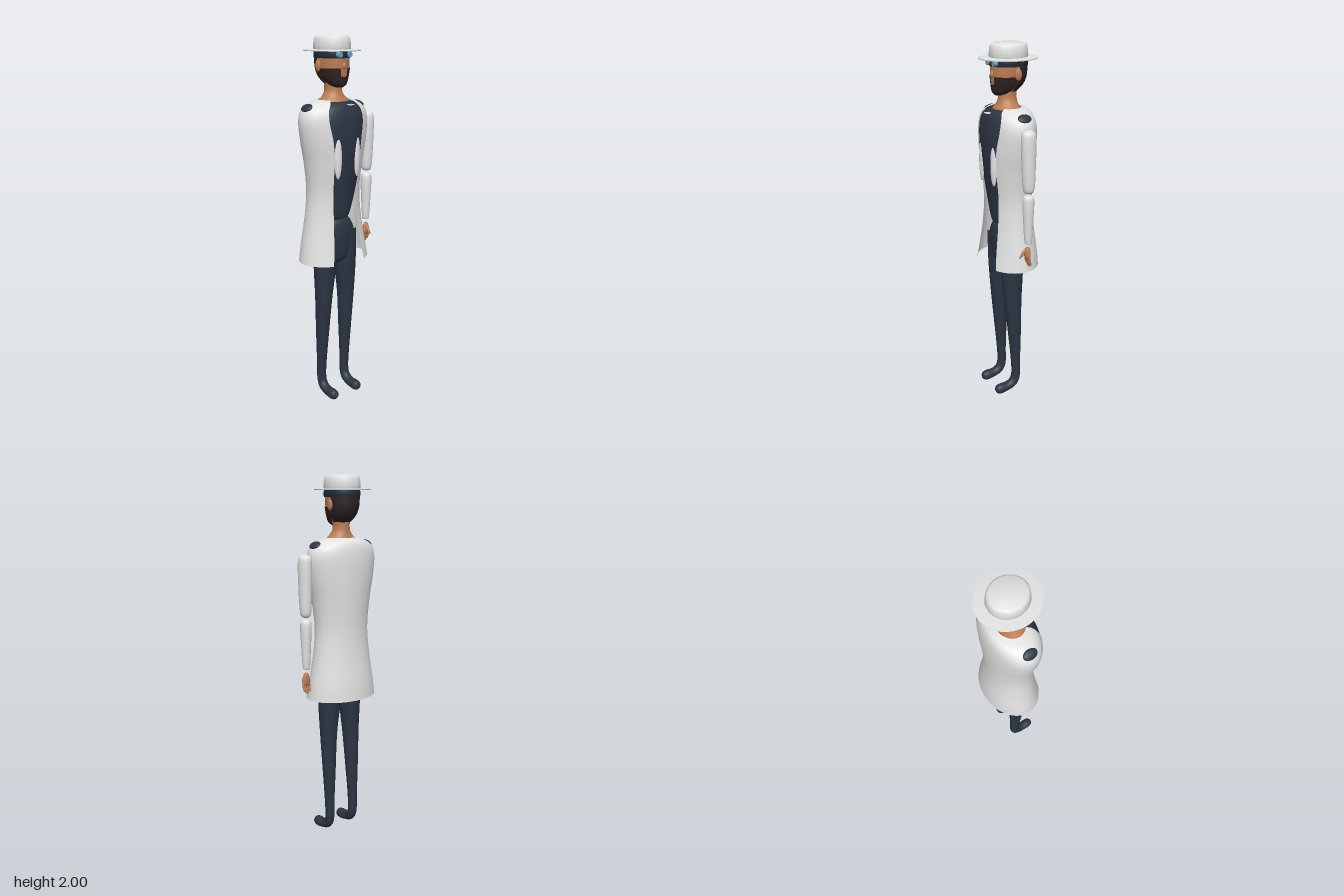
import * as THREE from 'three';
import { toCreasedNormals } from 'three/addons/utils/BufferGeometryUtils.js';

const CX = -0.028; // the body's own centre line
const mat = (name, color, side = THREE.FrontSide) => {
  const m = new THREE.MeshStandardMaterial({ color, side });
  m.name = name;
  return m;
};

// Smooth interpolation through rows of numbers, u from 0 to 1
function spline(rows) {
  const f = new THREE.CubicInterpolant(rows.map((_, i) => i), rows.flat(), rows[0].length);
  return (u) => Array.from(f.evaluate(u * (rows.length - 1)));
}

// Surface of nu x nv cells; point(u, v) gives [x, y, z]
function surface(nu, nv, closed, point) {
  const pos = [], idx = [], cols = closed ? nv : nv + 1;
  for (let i = 0; i <= nu; i++)
    for (let j = 0; j < cols; j++) pos.push(...point(i / nu, j / nv));
  for (let i = 0; i < nu; i++)
    for (let j = 0; j < nv; j++) {
      const a = i * cols + j, b = i * cols + (j + 1) % cols;
      idx.push(a, b, a + cols, b, b + cols, a + cols);
    }
  const g = new THREE.BufferGeometry();
  g.setAttribute('position', new THREE.Float32BufferAttribute(pos, 3));
  g.setIndex(idx);
  g.computeVertexNormals();
  return g;
}

// Loft of upright ellipses. Rows: [y, half width, front z, back z, optional start angle or opening]
function loft(rows, range = null, nu = 40, nv = 48) {
  const at = spline(rows);
  return surface(nu, nv, !range, (u, v) => {
    const r = at(u), [y, hx, zf, zb] = r;
    const [t0, t1] = range ? range(r) : [0, Math.PI * 2];
    const t = t0 + (t1 - t0) * v;
    return [CX + hx * Math.sin(t), y, (zf + zb) / 2 + (zf - zb) / 2 * Math.cos(t)];
  });
}

// Tapered limb along a path. Rows: [x, y, z, side radius, depth radius]
function limb(rows, nu = 40, nv = 20) {
  const at = spline(rows), T = new THREE.Vector3(), X = new THREE.Vector3(1, 0, 0);
  return surface(nu, nv, true, (u, v) => {
    const p = at(u), a = at(Math.max(0, u - 0.01)), b = at(Math.min(1, u + 0.01));
    T.set(0, b[1] - a[1], b[2] - a[2]).normalize();
    const n = X.clone().cross(T), t = v * Math.PI * 2;
    const s = Math.max(p[3], 0.001) * Math.sin(t), d = Math.max(p[4], 0.001) * Math.cos(t);
    return [p[0] + s, p[1] + n.y * d, p[2] + n.z * d];
  });
}

export function createModel() {
  const model = new THREE.Group();
  const white = mat('white cloth', 0xe2e2e2, THREE.DoubleSide);
  const navy = mat('navy cloth', 0x2b3543);
  const skin = mat('skin', 0xbb7d54);
  const hair = mat('dark brown hair', 0x2f2222, THREE.DoubleSide);
  const strapMat = mat('dark strap', 0x202a36, THREE.DoubleSide);
  const blue = mat('blue lens', 0x6aa6c8);

  const add = (name, geometry, material) => {
    const m = new THREE.Mesh(geometry, material);
    m.name = name;
    model.add(m);
    return m;
  };
  const ball = (name, material, pos, size) => {
    const m = add(name, new THREE.SphereGeometry(1, 24, 16), material);
    m.position.set(...pos);
    m.scale.set(...size);
    return m;
  };

  // Open coat; the fifth number is the half width of the front opening
  add('coat', loft([
    [0.815, 0.207, 0.165, -0.145, 0.105], [0.9, 0.195, 0.15, -0.138, 0.093],
    [1.05, 0.17, 0.13, -0.12, 0.082], [1.2, 0.157, 0.125, -0.112, 0.08],
    [1.35, 0.172, 0.137, -0.118, 0.083], [1.47, 0.195, 0.143, -0.122, 0.092],
    [1.57, 0.207, 0.138, -0.12, 0.11], [1.63, 0.19, 0.125, -0.112, 0.105],
    [1.665, 0.14, 0.105, -0.095, 0.08], [1.68, 0.085, 0.08, -0.06, 0.06],
  ], ([, hx, , , w]) => {
    const t = Math.asin(Math.min(0.95, w / hx));
    return [t, Math.PI * 2 - t];
  }, 60, 72), white);

  // Shirt and trouser hips
  add('shirt', loft([
    [1.045, 0.02, 0.05, -0.02], [1.05, 0.065, 0.085, -0.06], [1.08, 0.088, 0.1, -0.075],
    [1.2, 0.125, 0.115, -0.09], [1.35, 0.15, 0.134, -0.1], [1.47, 0.172, 0.142, -0.105],
    [1.57, 0.185, 0.137, -0.1], [1.63, 0.165, 0.123, -0.09], [1.66, 0.115, 0.105, -0.07],
    [1.672, 0.075, 0.085, -0.05],
  ]), navy);
  add('hips', loft([
    [0.79, 0.02, 0.05, 0], [0.82, 0.09, 0.08, -0.035], [0.88, 0.125, 0.092, -0.052],
    [0.96, 0.125, 0.097, -0.062], [1.02, 0.1, 0.09, -0.06], [1.045, 0.07, 0.075, -0.05],
    [1.055, 0.01, 0.02, 0],
  ]), navy);

  // Details mirrored about the body's centre line
  for (const s of [-1, 1]) {
    const side = s > 0 ? 'left' : 'right';
    add(side + 'Leg', limb([
      [0.07, 0.98, 0.02, 0.058, 0.07], [0.07, 0.8, 0.022, 0.062, 0.064],
      [0.078, 0.6, 0.02, 0.047, 0.05], [0.081, 0.4, 0.012, 0.037, 0.039],
      [0.083, 0.2, 0.005, 0.028, 0.027], [0.083, 0.1, 0.004, 0.026, 0.026],
      [0.083, 0.055, 0.022, 0.027, 0.027], [0.083, 0.037, 0.06, 0.028, 0.025],
      [0.083, 0.033, 0.105, 0.028, 0.029], [0.083, 0.034, 0.13, 0.021, 0.022],
      [0.083, 0.035, 0.14, 0.001, 0.001],
    ].map(([x, ...r]) => [CX + s * x, ...r]), 80), navy);
    ball(side + 'LapelPatch', white, [CX + s * 0.064, 1.39, 0.127], [0.021, 0.11, 0.014]).rotation.y = s * 0.3;
    ball(side + 'ShoulderPatch', navy, [CX + s * 0.172, 1.646, 0.008], [0.027, 0.012, 0.038]).rotation.z = -s * 0.65;
    ball(side + 'Ear', skin, [CX + s * 0.086, 1.85, -0.008], [0.01, 0.03, 0.019]);
    const lens = add(side + 'Lens', new THREE.CylinderGeometry(0.014, 0.016, 0.022, 24), blue);
    lens.rotation.x = Math.PI / 2;
    lens.position.set(CX + s * 0.031, 1.906, 0.098);
    // Half of the beard, leaving a gap at the mouth
    const start = (y) => (y > 1.8 ? 0.25 : 0);
    add(side + 'Beard', loft([
      [1.742, 0.018, 0.078, 0.03], [1.758, 0.047, 0.092, -0.018], [1.79, 0.07, 0.097, -0.07],
      [1.838, 0.085, 0.1, -0.093],
    ], ([y]) => (s > 0 ? [start(y), 1.75] : [-1.75, -start(y)]), 24, 24), hair);
  }

  // Head, neck, hair and nose
  add('head', loft([
    [1.745, 0.01, 0.07, 0.035], [1.76, 0.044, 0.088, -0.015], [1.79, 0.066, 0.093, -0.066],
    [1.83, 0.08, 0.096, -0.088], [1.88, 0.085, 0.096, -0.094], [1.93, 0.084, 0.094, -0.095],
  ]), skin);
  add('neck', loft([
    [1.655, 0.092, 0.09, -0.06], [1.675, 0.082, 0.078, -0.053], [1.7, 0.058, 0.064, -0.045],
    [1.73, 0.043, 0.057, -0.042], [1.8, 0.043, 0.055, -0.045],
  ]), skin);
  add('hair', loft([
    [1.76, 0.048, 0.085, -0.045], [1.79, 0.071, 0.096, -0.075], [1.83, 0.084, 0.099, -0.094],
    [1.88, 0.088, 0.099, -0.099], [1.93, 0.087, 0.097, -0.099],
  ], () => [1.72, Math.PI * 2 - 1.72]), hair);
  ball('nose', skin, [CX, 1.85, 0.095], [0.012, 0.018, 0.012]);

  // Goggle strap
  add('goggleStrap', loft([
    [1.888, 0.089, 0.101, -0.101], [1.906, 0.091, 0.103, -0.103], [1.924, 0.089, 0.101, -0.101],
  ], null, 6), strapMat);

  // Hat with a flat brim
  const profile = [[0, 1.921], [0.142, 1.923], [0.143, 1.927], [0.092, 1.931], [0.094, 1.94],
    [0.092, 1.965], [0.089, 1.985], [0.084, 1.994], [0.076, 1.998], [0, 2]];
  const hat = add('hat', toCreasedNormals(new THREE.LatheGeometry(
    profile.map(([x, y]) => new THREE.Vector2(x, y)), 64), 0.7), white);
  hat.position.x = CX;
  hat.scale.z = 1.085;

  // Small loose collar tab
  add('collarTab', new THREE.BoxGeometry(0.03, 0.004, 0.025), white).position.set(CX + 0.015, 1.66, 0.132);

  // The single arm in two rounded segments
  add('upperArm', limb([
    [0.2, 1.6, 0.017, 0.001, 0.001], [0.2, 1.593, 0.017, 0.024, 0.027], [0.201, 1.56, 0.018, 0.035, 0.04],
    [0.201, 1.43, 0.018, 0.034, 0.038], [0.201, 1.31, 0.016, 0.03, 0.032],
    [0.201, 1.278, 0.015, 0.021, 0.023], [0.201, 1.27, 0.015, 0.001, 0.001],
  ]), white);
  add('forearm', limb([
    [0.2, 1.262, 0.016, 0.001, 0.001], [0.2, 1.255, 0.016, 0.024, 0.024], [0.2, 1.22, 0.017, 0.03, 0.031],
    [0.2, 1.12, 0.017, 0.026, 0.027], [0.2, 1.01, 0.016, 0.02, 0.02],
    [0.2, 0.994, 0.016, 0.014, 0.014], [0.2, 0.99, 0.016, 0.001, 0.001],
  ]), white);

  // Hand with four fingers and a thumb
  add('palm', limb([
    [0.2, 0.975, 0.017, 0.002, 0.002], [0.2, 0.965, 0.018, 0.013, 0.011],
    [0.2, 0.93, 0.02, 0.023, 0.015], [0.2, 0.908, 0.018, 0.02, 0.011], [0.2, 0.9, 0.017, 0.002, 0.002],
  ]), skin);
  [0.868, 0.858, 0.86, 0.87].forEach((tip, i) => {
    const x = 0.182 + i * 0.012;
    add('finger' + (i + 1), limb([
      [x, 0.925, 0.02, 0.006, 0.008], [x, 0.895, 0.017, 0.006, 0.007],
      [x, tip + 0.006, 0.009, 0.005, 0.005], [x, tip, 0.007, 0.001, 0.001],
    ], 16, 10), skin);
  });
  add('thumb', limb([
    [0.196, 0.96, 0.022, 0.008, 0.008], [0.195, 0.945, 0.04, 0.008, 0.008],
    [0.194, 0.922, 0.058, 0.006, 0.006], [0.194, 0.912, 0.064, 0.001, 0.001],
  ], 16, 10), skin);

  return model;
}
